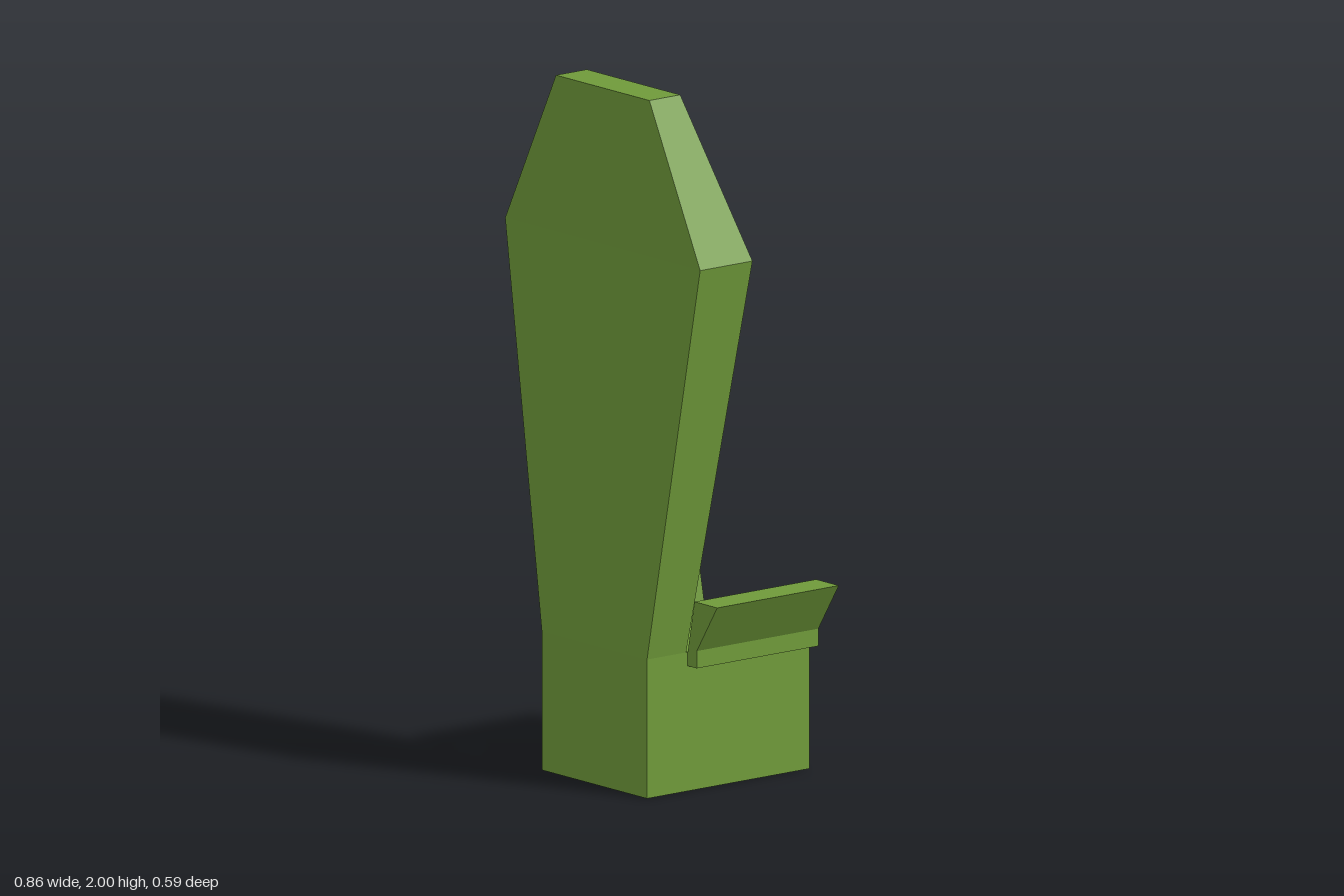
import * as THREE from 'three';

const material = new THREE.MeshStandardMaterial({ color: 0x6f9a3a, flatShading: true });

// Solid through rectangular sections [y, halfWidth, zNear, zFar]
function loft(sections) {
  const pos = [];
  const rings = sections.map(([y, w, a, b]) => [[-w, y, b], [w, y, b], [w, y, a], [-w, y, a]]);
  const quad = (a, b, c, d) => pos.push(...a, ...b, ...c, ...a, ...c, ...d);
  for (let i = 0; i < rings.length - 1; i++) {
    const lo = rings[i], hi = rings[i + 1];
    for (let j = 0; j < 4; j++) {
      const k = (j + 1) % 4;
      quad(lo[j], lo[k], hi[k], hi[j]);
    }
  }
  const first = rings[0], last = rings[rings.length - 1];
  quad(first[3], first[2], first[1], first[0]);
  quad(last[0], last[1], last[2], last[3]);
  const geo = new THREE.BufferGeometry();
  geo.setAttribute('position', new THREE.Float32BufferAttribute(pos, 3));
  geo.computeVertexNormals();
  return geo;
}

export function createModel() {
  const group = new THREE.Group();
  const add = (name, geo) => {
    const mesh = new THREE.Mesh(geo, material);
    mesh.name = name;
    group.add(mesh);
    return mesh;
  };

  // Block seat
  add('seatBase', new THREE.BoxGeometry(0.464, 0.4, 0.59)).position.y = 0.2;

  // Tall tapering backrest, widest near the top
  add('backrest', loft([
    [0.4, 0.232, 0.153, 0.295],
    [1.55, 0.43, 0.075, 0.265],
    [2.0, 0.206, 0.153, 0.265],
  ]));

  // Flared armrests, mirrored across the seat
  const profile = [[0.23, 0.36], [0.272, 0.36], [0.272, 0.41], [0.362, 0.55], [0.262, 0.55], [0.232, 0.4]];
  for (const side of [1, -1]) {
    const shape = new THREE.Shape(profile.map(([x, y]) => new THREE.Vector2(side * x, y)));
    const geo = new THREE.ExtrudeGeometry(shape, { depth: 0.442, bevelEnabled: false });
    add(side > 0 ? 'leftArmrest' : 'rightArmrest', geo).position.z = -0.295;
  }
  return group;
}
